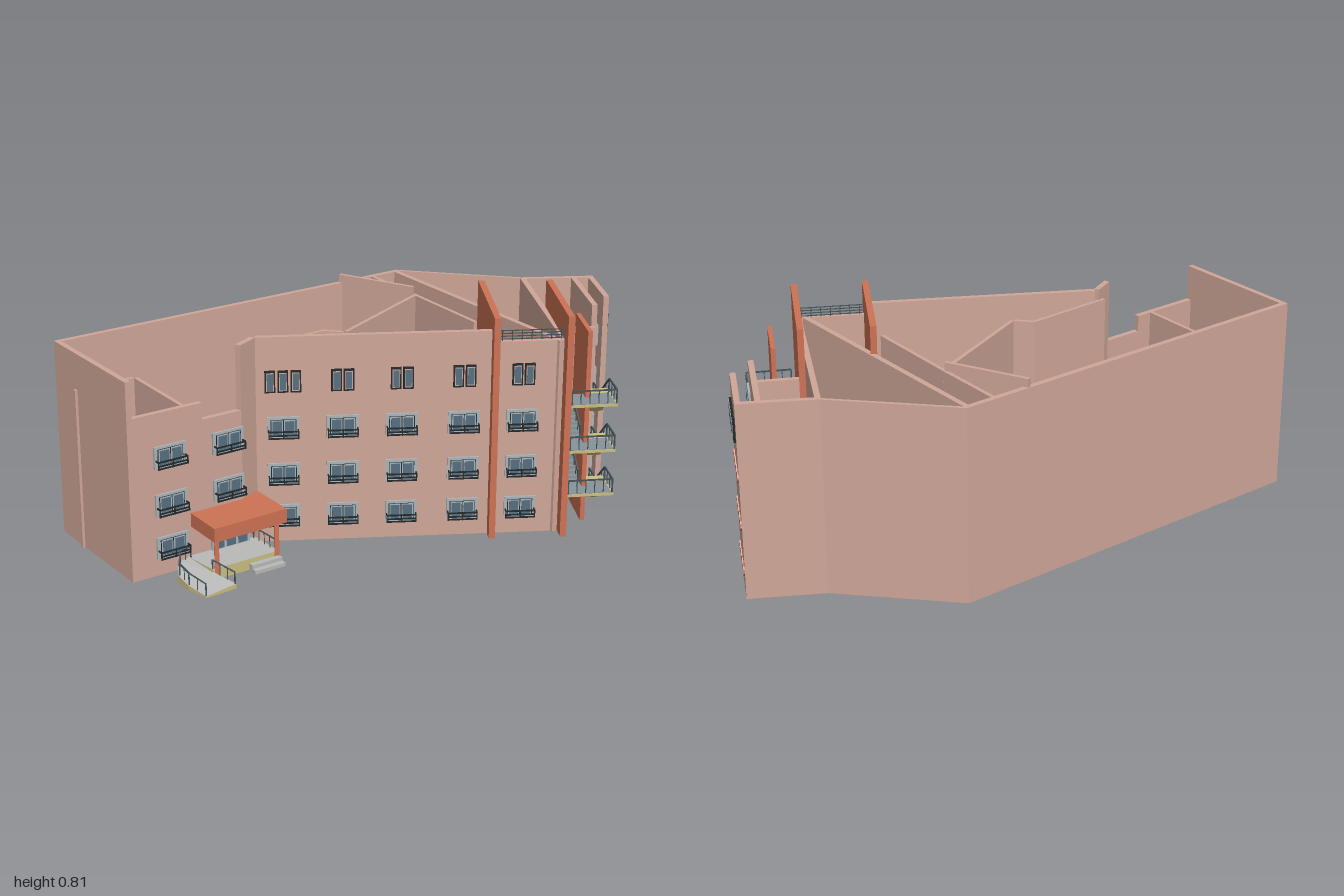
import * as THREE from 'three';

const mat = (name, color) => {
  const m = new THREE.MeshStandardMaterial({ color });
  m.name = name;
  return m;
};

export function createModel() {
  const model = new THREE.Group();
  model.name = 'apartmentBlock';
  const pink = mat('pinkPlaster', 0xcfa698), terra = mat('terracotta', 0xcd7254);
  const khaki = mat('khakiConcrete', 0xcabe80), grey = mat('paleGreyPaving', 0xb9bab8);
  const tread = mat('slateTread', 0x87949a), glass = mat('blueGreyGlass', 0x566f80);
  const frame = mat('paleFrame', 0xaab4b8), dark = mat('darkMetal', 0x22282b), rail = mat('railMetal', 0x42535a);

  const box = (parent, name, m, w, h, d, x, y, z) => {
    const b = new THREE.Mesh(new THREE.BoxGeometry(w, h, d), m);
    b.name = name;
    b.position.set(x, y, z);
    parent.add(b);
    return b;
  };
  // Square bar between two points
  const bar = (parent, name, m, p, q, t = 0.005) => {
    const a = new THREE.Vector3(...p), b = new THREE.Vector3(...q);
    const d = b.clone().sub(a), c = a.add(b).multiplyScalar(0.5);
    const mesh = box(parent, name, m, t, d.length(), t, c.x, c.y, c.z);
    mesh.quaternion.setFromUnitVectors(new THREE.Vector3(0, 1, 0), d.normalize());
  };
  // Handrail, mid rail and posts along a path of floor points
  const railing = (parent, name, pts, h = 0.05) => {
    const g = new THREE.Group();
    g.name = name;
    parent.add(g);
    const up = (p, k) => [p[0], p[1] + k, p[2]];
    pts.forEach((p, i) => {
      bar(g, 'post', rail, p, up(p, h));
      if (!i) return;
      const o = pts[i - 1], n = Math.max(1, Math.round(Math.hypot(p[0] - o[0], p[2] - o[2]) / 0.035));
      bar(g, 'handrail', rail, up(o, h), up(p, h));
      for (let k = 1; k < n; k++) {
        const s = o.map((v, j) => v + (p[j] - v) * k / n);
        bar(g, 'post', rail, s, up(s, h), 0.003);
      }
    });
  };
  // Prism from a plan outline of [x, z] points
  const plan = (name, m, pts, h, y = 0, topRule) => {
    const s = new THREE.Shape(pts.map(p => new THREE.Vector2(...p)));
    const geo = new THREE.ExtrudeGeometry(s, { depth: h, bevelEnabled: false });
    geo.rotateX(Math.PI / 2).translate(0, h, 0);
    if (topRule) {
      const a = geo.attributes.position;
      for (let i = 0; i < a.count; i++) if (a.getY(i) > h / 2) a.setY(i, topRule(a.getX(i), a.getZ(i)));
      geo.computeVertexNormals();
    }
    const mesh = new THREE.Mesh(geo, m);
    mesh.name = name;
    mesh.position.y = y;
    model.add(mesh);
  };
  // Upright wall between two plan points; the group's +z faces outwards
  const wall = (name, [x0, z0], [x1, z1], h, m = pink, t = 0.02) => {
    const g = new THREE.Group(), len = Math.hypot(x1 - x0, z1 - z0);
    g.name = name;
    g.position.set(x0, 0, z0);
    g.rotation.y = -Math.atan2(z1 - z0, x1 - x0);
    box(g, name + 'Panel', m, len, h, t, len / 2, h / 2, -t / 2);
    model.add(g);
    return g;
  };
  // Two-pane window, with an optional guard rail
  const paneWindow = (parent, x, y, w = 0.11, h = 0.078, guard = true) => {
    const g = new THREE.Group();
    g.name = 'window';
    g.position.set(x, y, 0);
    parent.add(g);
    box(g, 'windowFrame', frame, w, h, 0.008, 0, 0, 0.004);
    box(g, 'windowRecess', dark, w * 0.8, h * 0.78, 0.002, 0, 0, 0.008);
    for (const s of [-1, 1]) {
      box(g, 'paneBorder', frame, w * 0.36, h * 0.74, 0.002, s * w * 0.195, 0, 0.0095);
      box(g, 'pane', glass, w * 0.29, h * 0.64, 0.002, s * w * 0.195, 0, 0.011);
    }
    if (!guard) return;
    for (const k of [-0.032, -0.022, -0.008]) box(g, 'guardBar', dark, w * 0.95, 0.005, 0.004, 0, k, 0.026);
    for (const s of [-1, 0, 1]) box(g, 'guardPost', dark, 0.004, 0.03, 0.004, s * w * 0.46, -0.02, 0.026);
    for (const s of [-1, 1]) box(g, 'guardReturn', dark, 0.004, 0.005, 0.026, s * w * 0.46, -0.008, 0.013);
  };
  // Narrow dark-framed window
  const slimWindow = (parent, x, y, w, h) => {
    box(parent, 'slimFrame', dark, w, h, 0.008, x, y, 0.004);
    box(parent, 'slimReveal', pink, w * 0.72, h * 0.84, 0.002, x, y, 0.0085);
    box(parent, 'slimPane', glass, w * 0.58, h * 0.76, 0.002, x, y, 0.0095);
  };

  // Main outline
  const A = [-1, 0.04], B = [-0.77, 0.48], C = [-0.385, 0.28], D = [-0.33, 0.208];
  const E = [0.72, 0.245], F = [0.27, -0.625], S = [-0.52, 0.35], M = [0.49, 0.237];
  plan('groundSlab', pink, [A, B, C, D, E, F], 0.01);
  wall('endWall', A, B, 0.71);
  const wing = wall('wingWallTall', B, S, 0.58);
  wall('wingWallLow', S, C, 0.52);
  wall('cornerPier', C, D, 0.75);
  const front = wall('frontWall', D, M, 0.75);
  wall('frontWallBetweenFins', M, E, 0.71);
  wall('diagonalWall', E, F, 0.71);
  wall('backWall', F, A, 0.71);

  // Inner partitions
  [[[-0.935, 0.185], [-0.735, 0.085], 0.58], [[-0.735, 0.085], [-0.59, 0.37], 0.58],
    [[0.16, -0.565], [0.285, -0.32], 0.71], [[0.285, -0.32], [0.45, 0.02], 0.71],
    [[0.04, -0.495], [0.285, -0.31], 0.74], [[0.285, -0.31], [-0.01, 0.06], 0.71],
    [[-0.01, 0.06], [-0.08, 0.035], 0.71], [[-0.08, 0.035], [-0.37, 0.2], 0.71]]
    .forEach(([p, q, h]) => wall('partition', p, q, h, pink, 0.014));

  // Windows on the front and the wing
  const rows = [0.1, 0.255, 0.425];
  [-0.238, -0.035, 0.168, 0.382, 0.585].forEach((x, i) => {
    const u = x + 0.33;
    rows.forEach(y => paneWindow(front, u, y));
    const slim = i ? [-0.021, 0.021] : [-0.044, 0, 0.044];
    slim.forEach(d => slimWindow(front, u + d, 0.592, 0.036, 0.078));
  });
  [-0.634, -0.436].forEach((x, i) => rows.forEach(y => {
    if (!(i && y < 0.2)) paneWindow(wing, (x + 0.77) / 0.886, y, 0.12);
  }));

  // Terracotta fins
  wall('leftFin', [0.492, 0.285], [0.515, -0.138], 0.81, terra, 0.022);
  wall('middleFin', [0.742, 0.298], [0.757, -0.12], 0.81, terra, 0.022);
  wall('stairFin', [0.838, 0.17], [0.842, -0.03], 0.71, terra, 0.016);
  for (let i = 0; i < 4; i++) bar(model, 'roofRail', rail, [0.5, 0.715 + i * 0.01, 0.225], [0.73, 0.715 + i * 0.01, 0.23], 0.003);
  for (let i = 0; i < 7; i++) bar(model, 'roofRailPost', rail, [0.51 + i * 0.034, 0.71, 0.227], [0.51 + i * 0.034, 0.747, 0.227], 0.003);

  // Right block
  wall('linkWall', [0.72, -0.472], F, 0.71, pink, 0.012);
  wall('blockBackWall', [0.99, -0.46], [0.72, -0.472], 0.71);
  wall('blockInnerWall', [0.735, 0.24], [0.735, -0.47], 0.71);
  wall('blockFrontWall', [0.735, -0.1], [0.92, -0.1], 0.63);
  const side = wall('blockSideWall', [0.925, -0.115], [0.925, -0.46], 0.71);
  [0.09, 0.253, 0.432, 0.593].forEach(y => paneWindow(side, 0.044, y, 0.08, 0.076, false));
  const outer = wall('outerScreenWall', [0.99, -0.207], [0.99, -0.462], 0.71);
  for (let i = 0; i < 4; i++) {
    slimWindow(outer, 0.046 + i * 0.05, 0.596, 0.037, 0.078);
    for (const y of [0.088, 0.257, 0.433]) {
      box(outer, 'diamond', terra, 0.028, 0.028, 0.004, 0.038 + i * 0.06, y, 0.002).rotation.z = Math.PI / 4;
    }
  }

  // Outside stairs: a profile in (z, y) extruded across x
  const flight = (name, pts, x0, x1, y) => {
    const s = new THREE.Shape(pts.map(([z, h]) => new THREE.Vector2(-z, h)));
    const geo = new THREE.ExtrudeGeometry(s, { depth: x1 - x0, bevelEnabled: false });
    geo.rotateY(Math.PI / 2);
    const mesh = new THREE.Mesh(geo, khaki);
    mesh.name = name;
    mesh.position.set(x0, y, 0);
    model.add(mesh);
  };
  [0.035, 0.2, 0.37].forEach((y, k) => {
    flight('outerFlight', [[0.235, 0.095], [0.08, 0.095], [0, 0], [-0.1, 0], [-0.1, -0.01], [0.03, -0.01], [0.128, 0.085], [0.235, 0.085]], 0.84, 0.922, y);
    box(model, 'frontLanding', khaki, 0.09, 0.01, 0.095, 0.797, y + 0.09, 0.187);
    box(model, 'frontLandingTop', tread, 0.165, 0.004, 0.1, 0.832, y + 0.0955, 0.182);
    box(model, 'backLanding', khaki, 0.09, 0.01, 0.1, 0.797, y - 0.005, -0.05);
    box(model, 'backLandingTop', tread, 0.165, 0.004, 0.1, 0.832, y + 0.0005, -0.05);
    for (let i = 0; i < 7; i++) {
      box(model, 'outerStep', tread, 0.074, 0.014, 0.017, 0.88, y + 0.006 + i * 0.0135, 0.012 + i * 0.0125);
      if (k) box(model, 'innerStep', tread, 0.07, 0.014, 0.019, 0.788, y - 0.006 - i * 0.0105, 0.008 + i * 0.019);
    }
    if (k) flight('innerFlight', [[0.14, -0.078], [0, -0.008], [0, -0.02], [0.14, -0.09]], 0.752, 0.822, y);
    railing(model, 'stairRailing', [[0.76, y + 0.095, 0.23], [0.918, y + 0.095, 0.23], [0.918, y + 0.095, 0.12], [0.918, y, 0], [0.918, y, -0.095]]);
    if (k) railing(model, 'innerRailing', [[0.818, y - 0.075, 0.13], [0.818, y, 0]]);
  });

  // Entrance: canopy, columns, porch, steps, door and curved ramp
  plan('canopy', terra, [[-0.583, 0.345], [-0.333, 0.212], [-0.245, 0.38], [-0.497, 0.515]], 0.05, 0.146);
  for (const [x, z] of [[-0.49, 0.485], [-0.28, 0.375]]) box(model, 'canopyColumn', terra, 0.016, 0.146, 0.016, x, 0.073, z);
  plan('porch', [grey, khaki], [[-0.585, 0.38], [-0.345, 0.25], [-0.275, 0.375], [-0.505, 0.495]], 0.04);
  const entry = new THREE.Group();
  entry.name = 'entrance';
  entry.position.set(-0.435, 0, 0.306);
  entry.rotation.y = Math.atan2(0.463, 0.886);
  model.add(entry);
  box(entry, 'doorSurround', frame, 0.15, 0.1, 0.008, 0, 0.09, 0.006);
  for (let i = -1; i <= 1; i++) box(entry, 'doorGlass', glass, 0.036, 0.084, 0.004, i * 0.046, 0.085, 0.01);
  for (let i = 0; i < 2; i++) box(entry, 'entranceStep', grey, 0.12, 0.026 - i * 0.013, 0.02, 0.05, 0.013 - i * 0.0065, 0.15 + i * 0.02);
  const slope = (x, z) => THREE.MathUtils.clamp(0.04 - (z - 0.43) * 0.17, 0.006, 0.04);
  plan('ramp', [grey, khaki], [[-0.615, 0.425], [-0.575, 0.385], [-0.505, 0.49], [-0.432, 0.565], [-0.535, 0.625], [-0.59, 0.56], [-0.62, 0.5]], 0.04, 0, slope);
  const onRamp = pts => pts.map(([x, z]) => [x, slope(x, z), z]);
  railing(model, 'rampOuterRailing', onRamp([[-0.572, 0.39], [-0.61, 0.428], [-0.615, 0.5], [-0.587, 0.555], [-0.535, 0.62]]), 0.042);
  railing(model, 'rampInnerRailing', onRamp([[-0.505, 0.488], [-0.436, 0.563]]), 0.042);
  railing(model, 'porchRailing', [[-0.35, 0.04, 0.262], [-0.285, 0.04, 0.372]], 0.042);
  return model;
}
